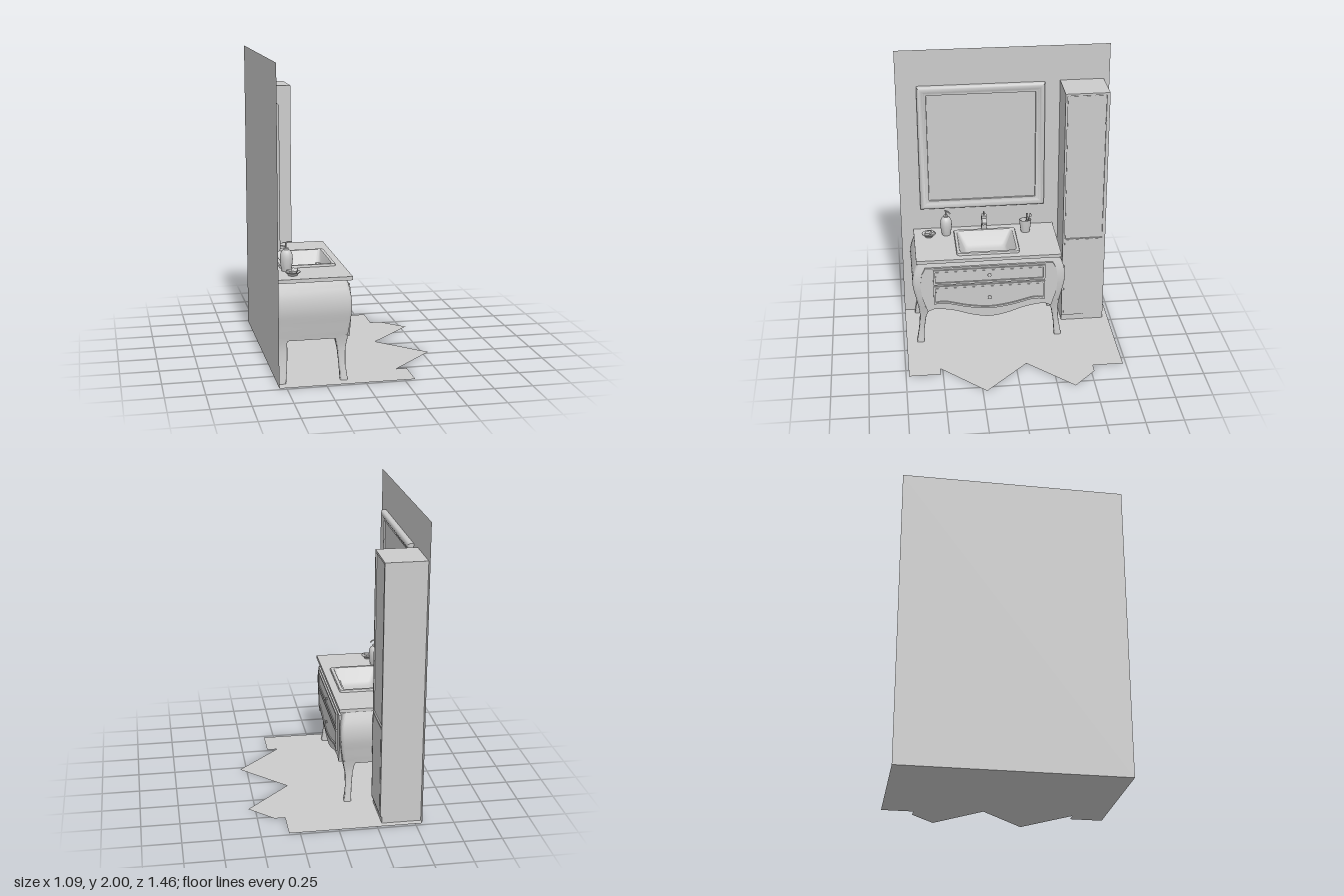
import * as THREE from 'three';
import { toCreasedNormals } from 'three/addons/utils/BufferGeometryUtils.js';

const mat = new THREE.MeshStandardMaterial({ color: 0xcccccc });
const thin = new THREE.MeshStandardMaterial({ color: 0xcccccc, side: THREE.DoubleSide });
const BACK = -0.544; // rear plane of everything standing against the wall

function add(parent, name, geo, x = 0, y = 0, z = 0, material = mat) {
  const m = new THREE.Mesh(geo, material);
  m.name = name;
  m.position.set(x, y, z);
  parent.add(m);
  return m;
}

function box(parent, name, x0, x1, y0, y1, z0, z1) {
  return add(parent, name, new THREE.BoxGeometry(x1 - x0, y1 - y0, z1 - z0),
    (x0 + x1) / 2, (y0 + y1) / 2, (z0 + z1) / 2);
}

// Horizontal rectangle with rounded corners at height y
function ring(x0, x1, z0, z1, y, r = 0, n = 5) {
  const pts = [];
  const corners = [[x1 - r, z1 - r], [x0 + r, z1 - r], [x0 + r, z0 + r], [x1 - r, z0 + r]];
  corners.forEach(([cx, cz], c) => {
    const steps = r ? n : 0;
    for (let i = 0; i <= steps; i++) {
      const a = (c + (steps ? i / steps : 0)) * Math.PI / 2;
      pts.push([cx + r * Math.cos(a), y, cz + r * Math.sin(a)]);
    }
  });
  return pts;
}

// Skin over a stack of rings, optionally closed at either end
function loft(rings, startCap = false, endCap = false, crease = 0.7) {
  const n = rings[0].length, pos = rings.flat(2), idx = [];
  for (let i = 0; i < rings.length - 1; i++) {
    for (let j = 0; j < n; j++) {
      const a = i * n + j, b = i * n + (j + 1) % n;
      idx.push(a, a + n, b, b, a + n, b + n);
    }
  }
  const last = (rings.length - 1) * n;
  for (let j = 1; j < n - 1; j++) {
    if (startCap) idx.push(0, j, j + 1);
    if (endCap) idx.push(last, last + j + 1, last + j);
  }
  const g = new THREE.BufferGeometry();
  g.setAttribute('position', new THREE.Float32BufferAttribute(pos, 3));
  g.setIndex(idx);
  return toCreasedNormals(g, crease);
}

const outline = (pts) => new THREE.Shape(pts.map(([a, b]) => new THREE.Vector2(a, b)));
const rect = (a0, a1, b0, b1) => outline([[a0, b0], [a1, b0], [a1, b1], [a0, b1]]);

// Plate facing +x from a shape drawn in (-z, y)
function plate(parent, name, shape, x0, x1) {
  const g = new THREE.ExtrudeGeometry(shape, { depth: x1 - x0, bevelEnabled: false });
  g.rotateY(Math.PI / 2);
  return add(parent, name, toCreasedNormals(g, 0.6), x0);
}

const curve = (pts, n) => new THREE.SplineCurve(pts.map(([a, b]) => new THREE.Vector2(a, b)))
  .getPoints(n).map((p) => [p.x, p.y]);
const lathe = (pts, n = 32) => toCreasedNormals(
  new THREE.LatheGeometry(pts.map(([a, b]) => new THREE.Vector2(a, b)), n), 0.7);
const tube = (pts, r, n = 16) => new THREE.TubeGeometry(
  new THREE.CatmullRomCurve3(pts.map((p) => new THREE.Vector3(...p))), n, r, 8);

function buildVanity() {
  const v = new THREE.Group();
  v.name = 'vanity';
  v.position.z = 0.147;

  // Bombe carcass: half width and front depth vary with height
  const side = curve([[0.49, 0.27], [0.51, 0.37], [0.527, 0.465], [0.52, 0.55], [0.487, 0.642]], 20);
  const front = curve([[-0.095, 0.27], [-0.08, 0.37], [-0.073, 0.465], [-0.077, 0.55], [-0.095, 0.642]], 20);
  add(v, 'carcass', loft(side.map(([h, y], i) => ring(BACK, front[i][0], -h, h, y, 0.02)), true));

  // Cabriole legs: [y, outer half width, inner half width, front x0, front x1, rear x1]
  const legRows = [[0, 0.51, 0.46, -0.145, -0.098, -0.49], [0.02, 0.507, 0.46, -0.146, -0.1, -0.488],
    [0.1, 0.493, 0.455, -0.151, -0.11, -0.48], [0.2, 0.484, 0.44, -0.16, -0.107, -0.476],
    [0.25, 0.487, 0.42, -0.17, -0.098, -0.478], [0.29, 0.494, 0.4, -0.185, -0.091, -0.47]];
  for (const s of [1, -1]) {
    for (const isFront of [true, false]) {
      const rings = legRows.map(([y, o, i, f0, f1, b]) => ring(isFront ? f0 : BACK, isFront ? f1 : b,
        Math.min(s * o, s * i), Math.max(s * o, s * i), y, 0.01, 3));
      add(v, isFront ? 'frontLeg' : 'backLeg', loft(rings, true, true));
    }
  }

  // Front panel with serpentine apron
  const mirrorPts = (half) => [...half, ...half.slice(0, -1).reverse().map(([a, b]) => [-a, b])];
  const apron = curve(mirrorPts([[-0.43, 0.26], [-0.37, 0.28], [-0.25, 0.262], [-0.12, 0.22], [0, 0.2]]), 48);
  plate(v, 'frontPanel', outline([...apron, [0.465, 0.37], [0.475, 0.465], [0.465, 0.55], [0.44, 0.6],
    [-0.44, 0.6], [-0.465, 0.55], [-0.475, 0.465], [-0.465, 0.37]]), -0.18, -0.071);

  // Drawers: moulded frame around a slightly recessed face
  const upper = (d) => outline([[-0.386 + d, 0.475 + d], [0.386 - d, 0.475 + d],
    [0.386 - d, 0.588 - d], [-0.386 + d, 0.588 - d]]);
  const lower = (d) => outline([
    ...curve(mirrorPts([[-0.386 + d, 0.322 + d], [-0.3, 0.325 + d], [-0.15, 0.288 + d], [0, 0.27 + d]]), 40),
    [0.386 - d, 0.462 - d], [-0.386 + d, 0.462 - d]]);
  [[upper, 0.535], [lower, 0.36]].forEach(([shapeAt, knobY]) => {
    const frame = shapeAt(0);
    frame.holes.push(shapeAt(0.014));
    plate(v, 'drawerFrame', frame, -0.075, -0.06);
    plate(v, 'drawerFace', shapeAt(0.018), -0.075, -0.065);
    const knob = lathe([[0.006, 0], [0.006, 0.007], [0.013, 0.01], [0.013, 0.014], [0.008, 0.018], [0, 0.019]], 20);
    knob.rotateZ(-Math.PI / 2);
    add(v, 'drawerKnob', knob, -0.067, knobY);
  });

  // Countertop with basin opening
  const top = rect(BACK, -0.065, -0.498, 0.498);
  top.holes.push(rect(-0.455, -0.135, -0.195, 0.195));
  const topGeo = new THREE.ExtrudeGeometry(top, { depth: 0.024, bevelEnabled: false });
  topGeo.rotateX(Math.PI / 2);
  add(v, 'countertop', topGeo, 0, 0.665);

  // Basin: outer rim, over the lip, down to the floor
  add(v, 'basin', loft([
    ring(-0.475, -0.115, -0.217, 0.217, 0.664, 0.022), ring(-0.475, -0.115, -0.217, 0.217, 0.676, 0.022),
    ring(-0.472, -0.118, -0.214, 0.214, 0.68, 0.02), ring(-0.452, -0.138, -0.196, 0.196, 0.68, 0.02),
    ring(-0.447, -0.142, -0.19, 0.19, 0.674, 0.02), ring(-0.41, -0.152, -0.15, 0.15, 0.585, 0.03),
    ring(-0.398, -0.16, -0.138, 0.138, 0.573, 0.03), ring(-0.38, -0.175, -0.12, 0.12, 0.569, 0.03),
  ], false, true));
  add(v, 'drain', lathe([[0.019, 0], [0.019, 0.004], [0.014, 0.007], [0, 0.007]], 24), -0.295, 0.568, 0);

  // Faucet: tapered column, sloping spout and lever
  const faucet = new THREE.Group();
  faucet.name = 'faucet';
  v.add(faucet);
  add(faucet, 'faucetColumn', loft([ring(-0.507, -0.462, -0.021, 0.021, 0.664, 0.008, 3),
    ring(-0.495, -0.457, -0.017, 0.017, 0.72, 0.008, 3),
    ring(-0.488, -0.45, -0.019, 0.019, 0.79, 0.008, 3)], true, true));
  add(faucet, 'faucetSpout', new THREE.BoxGeometry(0.075, 0.02, 0.034), -0.443, 0.757, 0).rotation.z = -0.25;
  add(faucet, 'faucetLever', tube([[-0.47, 0.788, 0], [-0.467, 0.808, 0], [-0.455, 0.828, 0]], 0.005));
  return v;
}

function buildAccessories() {
  const g = new THREE.Group();
  g.name = 'accessories';
  g.position.y = 0.665;

  // Pump bottle
  add(g, 'soapBottle', lathe([[0, 0], [0.03, 0], [0.036, 0.03], [0.041, 0.075], [0.039, 0.105],
    [0.03, 0.128], [0.016, 0.137], [0.016, 0.147], [0, 0.147]]), -0.445, 0, 0.417);
  add(g, 'pumpStem', new THREE.CylinderGeometry(0.006, 0.006, 0.04, 12), -0.445, 0.165, 0.417);
  add(g, 'pumpNozzle', tube([[-0.452, 0.18, 0.423], [-0.43, 0.184, 0.405], [-0.405, 0.176, 0.385]], 0.005));

  // Dish with two pieces of soap
  add(g, 'soapDish', lathe([[0, 0], [0.028, 0], [0.035, 0.01], [0.05, 0.022], [0.047, 0.024],
    [0.032, 0.013], [0, 0.012]]), -0.425, 0, 0.54);
  add(g, 'soap', new THREE.BoxGeometry(0.04, 0.018, 0.045), -0.435, 0.022, 0.53).rotation.y = 0.4;
  add(g, 'soap', new THREE.BoxGeometry(0.035, 0.016, 0.04), -0.415, 0.03, 0.545).rotation.set(0.3, -0.4, 0);

  // Oval tumbler with toothbrushes
  const cup = add(g, 'tumbler', lathe([[0, 0], [0.03, 0], [0.036, 0.03], [0.043, 0.095], [0.04, 0.095],
    [0.033, 0.03], [0.027, 0.008], [0, 0.008]]), -0.428, 0, -0.142);
  cup.scale.x = 0.72;
  for (const [dx, dz, h] of [[0.012, -0.035, 0.142], [-0.008, -0.014, 0.134]]) {
    add(g, 'toothbrush', tube([[-0.428 - dx, 0.012, -0.135], [-0.428, 0.07, -0.142 + dz * 0.4],
      [-0.428 + dx, h, -0.142 + dz]], 0.004));
    add(g, 'brushHead', new THREE.BoxGeometry(0.012, 0.024, 0.011), -0.428 + dx, h - 0.01, -0.142 + dz);
  }
  return g;
}

function buildMirror() {
  const g = new THREE.Group();
  g.name = 'wallMirror';
  // Rounded moulding lofted from nested rectangles, then turned to face +x
  const steps = [[0, 0], [0, 0.022], [0.005, 0.031], [0.014, 0.037], [0.024, 0.038],
    [0.036, 0.034], [0.047, 0.026], [0.054, 0.024], [0.062, 0.024], [0.065, 0.01]];
  const geo = loft(steps.map(([d, y]) => ring(-0.4575 + d, 0.4575 - d, -0.4375 + d, 0.4375 - d, y)));
  geo.rotateZ(-Math.PI / 2);
  add(g, 'mirrorFrame', geo, BACK, 1.2875, 0.1525);
  box(g, 'mirrorGlass', BACK, -0.53, 0.89, 1.685, -0.225, 0.53);
  return g;
}

function buildTallCabinet() {
  const g = new THREE.Group();
  g.name = 'tallCabinet';
  box(g, 'cabinetBody', BACK, -0.287, 0, 1.75, -0.69, -0.39);
  const frame = rect(0.39, 0.69, 0.045, 1.75);
  frame.holes.push(rect(0.404, 0.668, 0.665, 1.735));
  plate(g, 'cabinetDoorFrame', frame, -0.287, -0.277);
  box(g, 'cabinetDoorPanel', -0.288, -0.284, 0.67, 1.73, -0.664, -0.408);
  box(g, 'lowerDoor', -0.278, -0.275, 0.055, 0.66, -0.668, -0.404);
  box(g, 'doorCatch', -0.278, -0.273, 1.525, 1.55, -0.672, -0.664);
  return g;
}

export function createModel() {
  const model = new THREE.Group();
  model.name = 'bathroomSet';

  // Wall sheet and floor with a zigzag front edge
  const wall = new THREE.PlaneGeometry(1.46, 2);
  wall.rotateY(Math.PI / 2);
  add(model, 'wall', wall, -0.545, 1, 0, thin);
  const floor = new THREE.ShapeGeometry(outline([[-0.545, -0.73], [0.32, -0.73], [0.32, -0.522], [0.39, -0.522],
    [0.545, -0.37], [0.25, -0.073], [0.545, 0.222], [0.25, 0.516], [0.32, 0.516], [0.32, 0.73], [-0.545, 0.73]]));
  floor.rotateX(Math.PI / 2);
  add(model, 'floor', floor, 0, 0, 0, thin);

  model.add(buildVanity(), buildAccessories(), buildMirror(), buildTallCabinet());
  return model;
}
